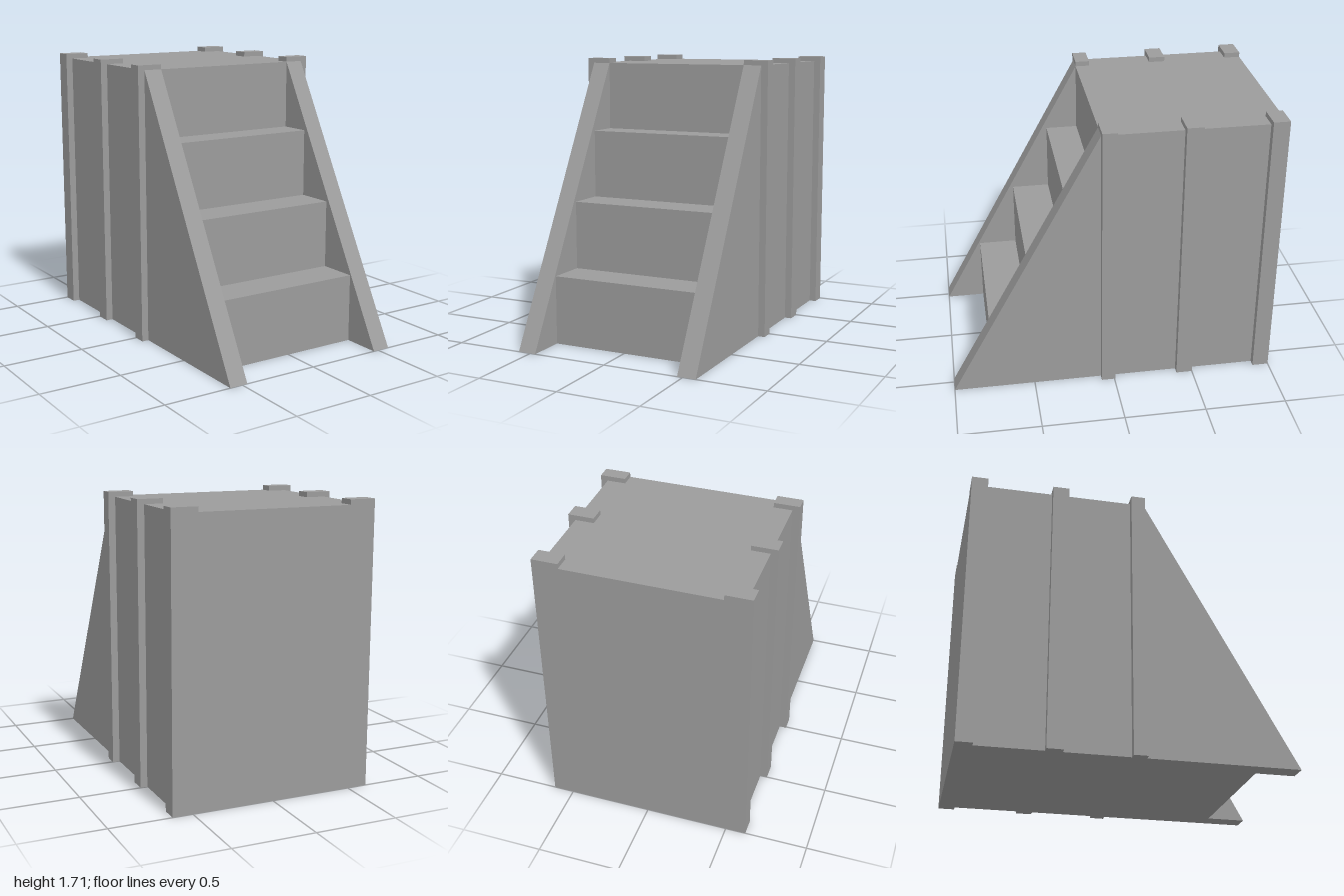
import * as THREE from 'three';

const material = new THREE.MeshStandardMaterial({ color: 0x9c9c9c, flatShading: true });

// Extrudes a side profile of [z, y] points across x, centred on x
function sideProfile(name, points, width, x) {
  const shape = new THREE.Shape(points.map(([z, y]) => new THREE.Vector2(z, y)));
  const geometry = new THREE.ExtrudeGeometry(shape, { depth: width, bevelEnabled: false });
  geometry.rotateY(-Math.PI / 2);
  geometry.translate(x + width / 2, 0, 0);
  const mesh = new THREE.Mesh(geometry, material);
  mesh.name = name;
  return mesh;
}

export function createModel() {
  const group = new THREE.Group();
  group.name = 'stairBlock';

  const rise = 0.42, top = 1.68, back = -1, front = 0.08;
  const inner = 0.466, outer = 0.58, postOuter = 0.623, postTop = 1.71;

  // Solid flight of steps with the landing behind it
  const profile = [[back, 0]];
  [0.76, 0.515, 0.278, front].forEach((z, i) => {
    profile.push([z, i * rise], [z, (i + 1) * rise]);
  });
  profile.push([back, top]);
  group.add(sideProfile('steps', profile, inner * 2, 0));

  for (const [side, s] of [['left', 1], ['right', -1]]) {
    // Side wall sloping down to the floor at the front
    group.add(sideProfile(side + 'SideWall',
      [[back, 0], [1, 0], [front, top], [back, top]],
      outer - inner, s * (inner + outer) / 2));

    // Upright posts standing proud of the wall and the landing
    [['Front', -0.007, front], ['Middle', -0.5, -0.4], ['Back', back, -0.9]].forEach(([place, z0, z1]) => {
      const post = new THREE.Mesh(
        new THREE.BoxGeometry(postOuter - inner, postTop, z1 - z0), material);
      post.position.set(s * (inner + postOuter) / 2, postTop / 2, (z0 + z1) / 2);
      post.name = side + place + 'Post';
      group.add(post);
    });
  }
  return group;
}
